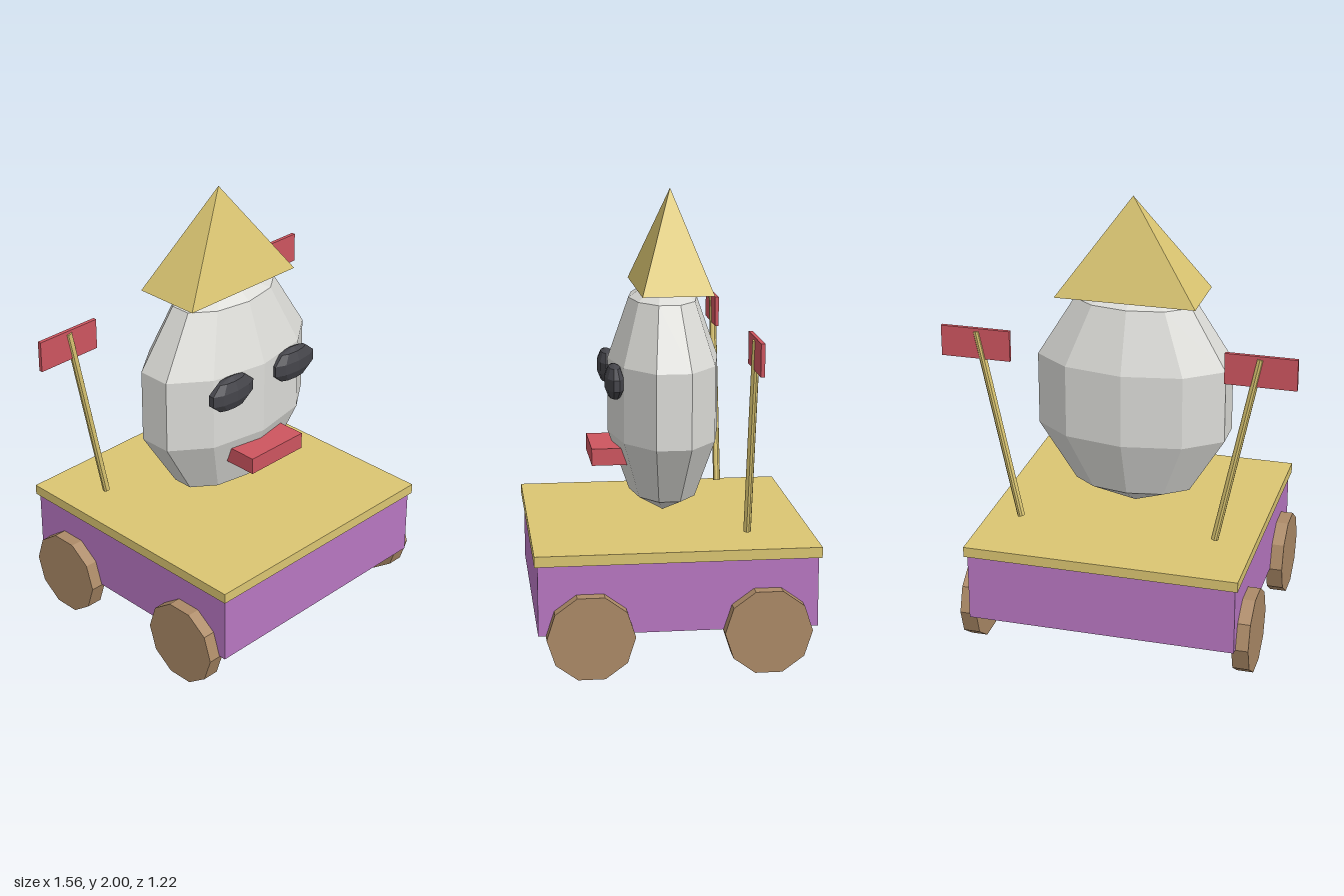
import * as THREE from 'three';

function material(name, color) {
  const m = new THREE.MeshStandardMaterial({ color, flatShading: true });
  m.name = name;
  return m;
}

export function createModel() {
  const model = new THREE.Group();
  model.name = 'headCart';
  const gold = material('gold', 0xdbc672);
  const purple = material('purple', 0xb877c2);
  const red = material('red', 0xcd555f);
  const brown = material('brown', 0xac8a67);
  const grey = material('paleGrey', 0xdcdcd8);
  const black = material('charcoal', 0x45454b);

  function add(name, geometry, mat, x, y, z) {
    const mesh = new THREE.Mesh(geometry, mat);
    mesh.name = name;
    mesh.position.set(x, y, z);
    model.add(mesh);
    return mesh;
  }
  const box = (w, h, d) => new THREE.BoxGeometry(w, h, d);
  // Faceted ellipsoid with a vertex column facing forward
  const ellipsoid = (rx, ry, rz) =>
    new THREE.SphereGeometry(1, 10, 5, Math.PI / 2).scale(rx, ry, rz);

  // Cart
  add('cartBody', box(1.194, 0.31, 1.194), purple, 0, 0.338, 0);
  add('cartDeck', box(1.22, 0.046, 1.22), gold, 0, 0.511, 0);

  // Ten-sided wheels
  for (const side of [1, -1]) {
    for (const end of [1, -1]) {
      const wheel = new THREE.CylinderGeometry(0.188, 0.188, 0.074, 10).rotateZ(Math.PI / 2);
      add((side > 0 ? 'left' : 'right') + (end > 0 ? 'FrontWheel' : 'BackWheel'),
        wheel, brown, side * 0.616, 0.181, end * 0.377);
    }
  }

  // Head and mouth
  add('head', ellipsoid(0.47, 0.535, 0.258), grey, 0, 1.091, 0);
  add('mouth', box(0.314, 0.075, 0.17), red, 0, 0.842, 0.245);

  // Four-sided pointed hat
  const hat = new THREE.ConeGeometry(Math.SQRT2, 1, 4).rotateY(Math.PI / 4);
  hat.scale(0.312, 0.433, 0.155);
  add('hat', hat, gold, 0, 1.7835, -0.033);

  // Eyes, poles and signs on both sides
  for (const side of [1, -1]) {
    const prefix = side > 0 ? 'left' : 'right';
    add(prefix + 'Eye', ellipsoid(0.134, 0.08, 0.044), black, side * 0.191, 1.187, 0.233);

    const bottom = new THREE.Vector3(side * 0.442, 0.569, -0.313);
    const top = new THREE.Vector3(side * 0.622, 1.43, -0.313);
    const along = top.clone().sub(bottom);
    const pole = add(prefix + 'Pole',
      new THREE.CylinderGeometry(0.0165, 0.0165, along.length(), 10), gold, 0, 0, 0);
    pole.position.copy(bottom).add(top).multiplyScalar(0.5);
    pole.quaternion.setFromUnitVectors(new THREE.Vector3(0, 1, 0), along.normalize());

    add(prefix + 'Sign', box(0.31, 0.138, 0.017), red, side * 0.626, 1.375, -0.314);
  }
  return model;
}
